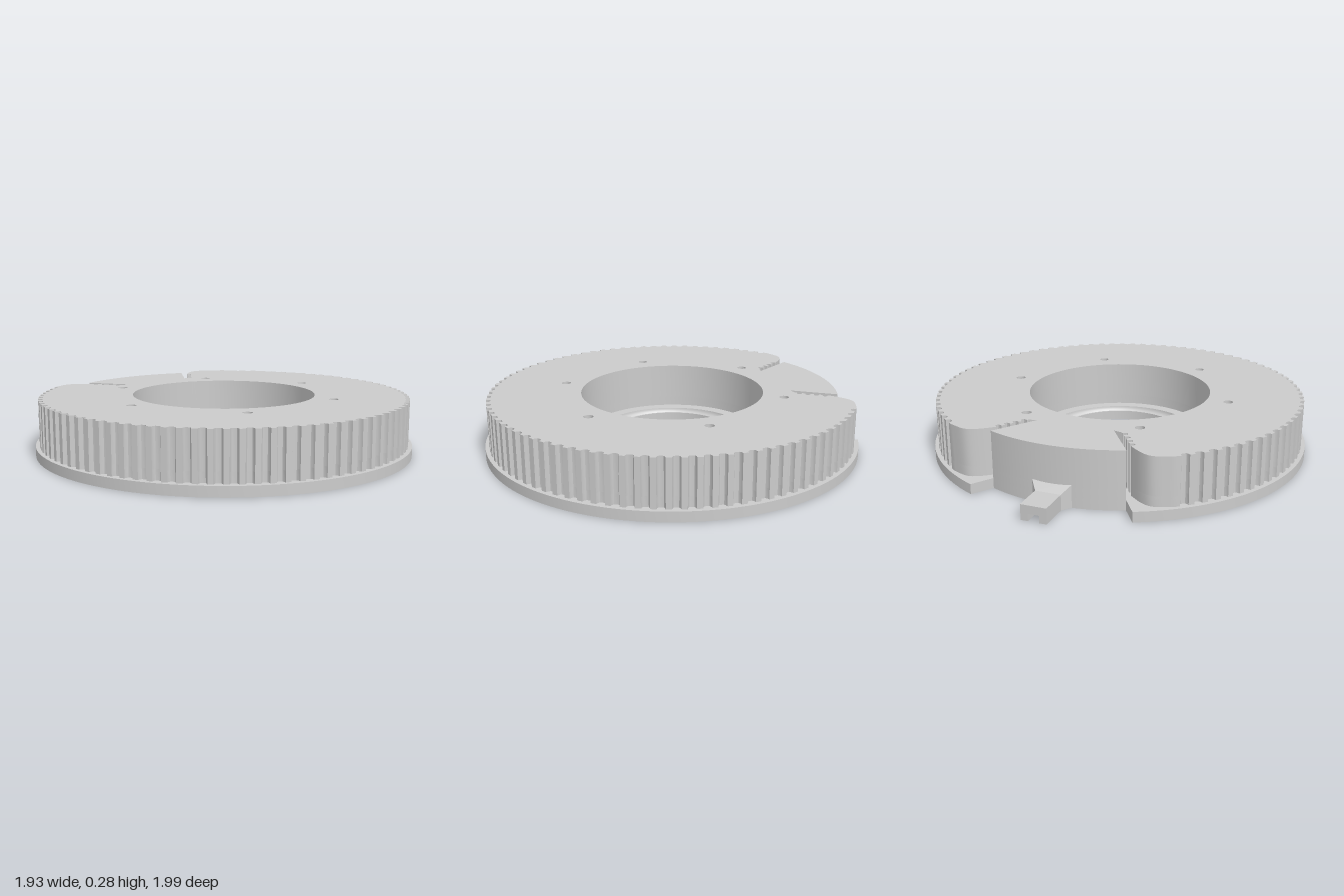
import * as THREE from 'three';
import { toCreasedNormals } from 'three/addons/utils/BufferGeometryUtils.js';

const CENTRE_Z = 0.03, FLANGE_Y = 0.05, POCKET_Y = 0.1, TOP_Y = 0.285;
const R_FLANGE = 0.965, R_TEETH = 0.945, R_WEDGE = 0.85, R_BORE = 0.47, R_BOLTS = 0.58;
const TOOTH_DEPTH = 0.022;
// one belt groove: position along the pitch, share of the depth
const GROOVE = [[-0.3, 0], [-0.27, 0.5], [-0.17, 0.92], [0, 1], [0.17, 0.92], [0.27, 0.5], [0.3, 0]];

const V = (x, y) => new THREE.Vector2(x, y);
const polar = (r, a, cx = 0, cy = 0) => V(cx + r * Math.cos(a), cy + r * Math.sin(a));
const arc = (r, a0, a1, n) => Array.from({ length: n + 1 }, (_, i) => polar(r, a0 + (a1 - a0) * i / n));

// half outline (x > 0, counter-clockwise from the front to the back) mirrored to a closed one
function mirrored(half) {
  return [...half, ...half.slice(1, -1).reverse().map(p => V(-p.x, p.y))];
}

function ring(r, n = 96, cx = 0, cy = 0, turn = 0) {
  return new THREE.Path(Array.from({ length: n }, (_, i) => polar(r, turn + i / n * Math.PI * 2, cx, cy)));
}

// six bolt openings on a circle: round holes or square nut pockets
function boltOpenings(r, sides) {
  return Array.from({ length: 6 }, (_, i) => {
    const a = i * Math.PI / 3, c = polar(R_BOLTS, a);
    return ring(r, sides, c.x, c.y, a + Math.PI / sides);
  });
}

const wedgeEdge = V(0.329, 0.784);
const wedgeAngle = Math.atan2(wedgeEdge.y, wedgeEdge.x);
const wedgeArc = arc(R_WEDGE, wedgeAngle, Math.PI / 2, 14);
wedgeArc[wedgeArc.length - 1].x = 0;

// flange: round, cut back to the wedge at the rear
function flangeOutline() {
  const end = Math.atan2(0.88, 0.393);
  return mirrored([...arc(R_FLANGE, -Math.PI / 2, end, 80), ...wedgeArc]);
}

// pulley body: toothed rim, rounded corner, toothed belt slot, rear wedge
function bodyOutline() {
  const half = [V(0, -R_TEETH)];
  const pitch = Math.PI * 2 / 90;
  for (let k = 0; k < 36; k++) {
    for (const [u, d] of GROOVE) {
      half.push(polar(R_TEETH - d * TOOTH_DEPTH, -Math.PI / 2 + (k + 0.5 + u) * pitch));
    }
  }
  const corner = new THREE.SplineCurve([V(0.545, 0.772), V(0.46, 0.803), V(0.4, 0.786), V(0.335, 0.735)]);
  half.push(...corner.getPoints(14));
  const a = V(0.335, 0.735), b = V(0.235, 0.59), d = b.clone().sub(a);
  const normal = V(-d.y, d.x).normalize();
  for (let k = 0; k < 4; k++) {
    for (const [u, depth] of GROOVE) {
      half.push(a.clone().addScaledVector(d, (k + 0.5 + u) / 4).addScaledVector(normal, depth * TOOTH_DEPTH));
    }
  }
  half.push(b, V(0.193, 0.58), ...wedgeArc);
  return mirrored(half);
}

function slab(points, holes, y0, y1) {
  const shape = new THREE.Shape(points);
  shape.holes.push(...holes);
  const geo = new THREE.ExtrudeGeometry(shape, { depth: y1 - y0, bevelEnabled: false });
  geo.rotateX(-Math.PI / 2).translate(0, y0, 0);
  return toCreasedNormals(geo, 0.45);
}

function lathe(points) {
  return toCreasedNormals(new THREE.LatheGeometry([...points, points[0].clone()], 96), 0.45);
}

// semicircular ball track, from one edge to the other
function track(r, y, radius, depth, from, to) {
  return Array.from({ length: 15 }, (_, i) => {
    const a = from + (to - from) * i / 14;
    return V(r + radius * Math.cos(a), y + depth * Math.sin(a));
  });
}

export function createModel() {
  const model = new THREE.Group();
  model.name = 'beltPulley';
  const material = new THREE.MeshStandardMaterial({ color: 0xcccccc });
  const add = (parent, name, geometry) => {
    const mesh = new THREE.Mesh(geometry, material);
    mesh.name = name;
    parent.add(mesh);
    return mesh;
  };

  const pulley = new THREE.Group();
  pulley.name = 'pulley';
  pulley.position.z = CENTRE_Z;
  model.add(pulley);

  // toothed body, with nut pockets in its lower layer
  const outline = bodyOutline();
  add(pulley, 'toothedBody', slab(outline, [ring(R_BORE), ...boltOpenings(0.024, 20)], POCKET_Y, TOP_Y));
  add(pulley, 'pocketLayer', slab(outline, [ring(R_BORE), ...boltOpenings(0.047, 4)], FLANGE_Y, POCKET_Y));

  // base plate: flange, lower ball track, pocket disc, upper ball track
  add(pulley, 'flange', slab(flangeOutline(), [ring(0.735)], 0, FLANGE_Y));
  add(pulley, 'lowerBallTrack', lathe([
    ...track(0.6945, 0, 0.0405, 0.036, Math.PI, 0), V(0.735, FLANGE_Y), V(0.654, FLANGE_Y),
  ]));
  add(pulley, 'pocketDisc', slab(ring(0.654).getPoints(), [ring(R_BORE), ...boltOpenings(0.047, 4)], 0, FLANGE_Y));
  add(pulley, 'upperBallTrack', lathe([
    V(0.327, 0), V(R_BORE, 0), V(R_BORE, FLANGE_Y),
    ...track(0.3725, FLANGE_Y, 0.0385, 0.036, 0, -Math.PI), V(0.327, FLANGE_Y),
  ]));

  // rear tab: channel open underneath
  const w = 0.062, h = 0.075, s = 0.027, t = 0.035;
  const channel = new THREE.Shape([
    V(-w, 0), V(-s, 0), V(-s, t), V(s, t), V(s, 0), V(w, 0), V(w, h), V(-w, h),
  ]);
  const tab = new THREE.ExtrudeGeometry(channel, { depth: 0.145, bevelEnabled: false });
  add(model, 'rearTab', tab.translate(0, 0, -1));

  // flared root joining the tab to the wedge
  const root = new THREE.BoxGeometry(2, 1, 0.055).translate(0, 0.5, -0.8275);
  const p = root.attributes.position;
  for (let i = 0; i < p.count; i++) {
    const outer = p.getZ(i) < -0.83;
    p.setX(i, p.getX(i) * (outer ? w : 0.108));
    p.setY(i, p.getY(i) * (outer ? h : 0.122));
  }
  const rootGeo = root.toNonIndexed();
  rootGeo.computeVertexNormals();
  add(model, 'tabRoot', rootGeo);

  return model;
}
